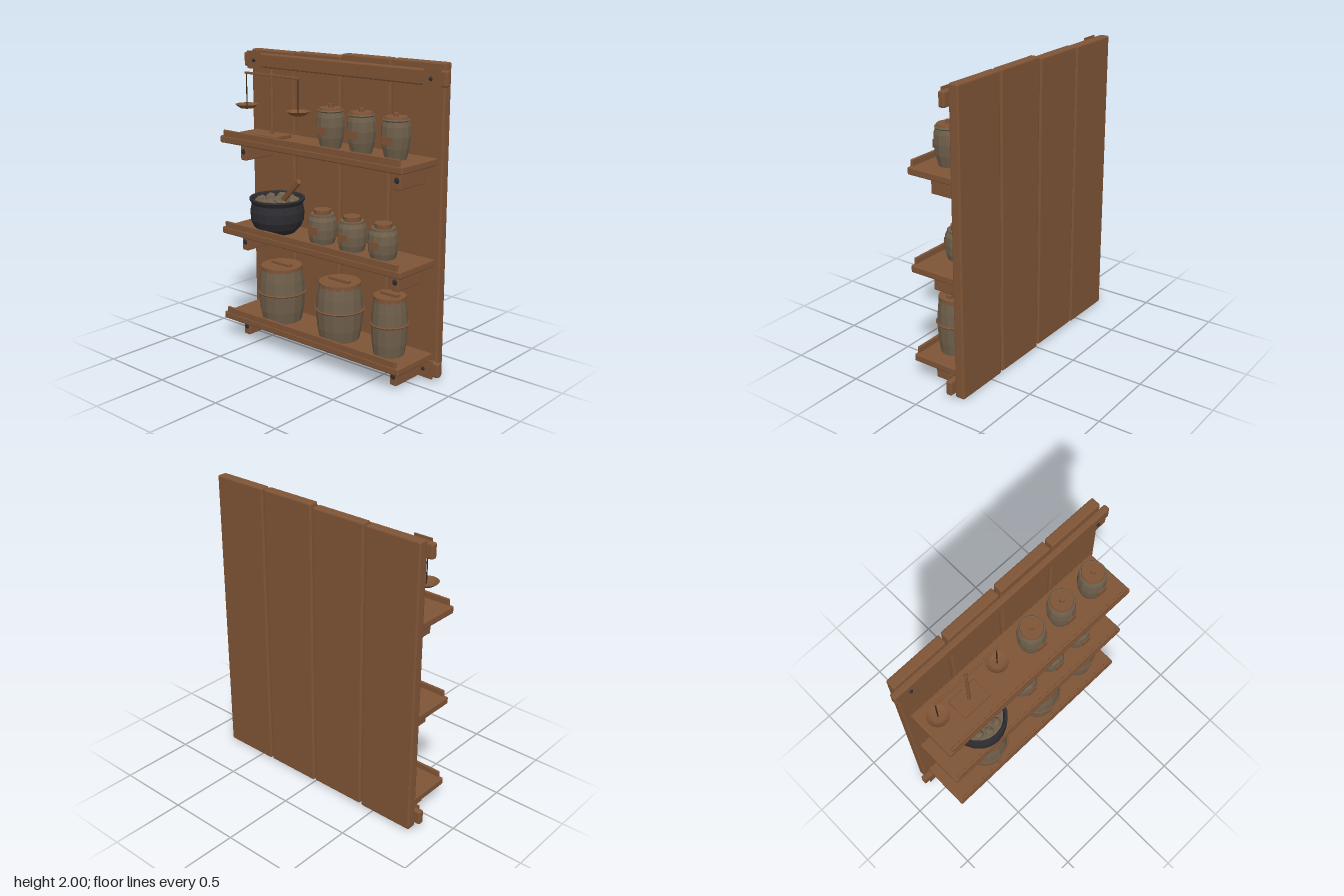
import * as THREE from 'three';
import { RoundedBoxGeometry } from 'three/addons/geometries/RoundedBoxGeometry.js';

const mat = (name, color) => {
  const m = new THREE.MeshStandardMaterial({ color, flatShading: true, side: THREE.DoubleSide });
  m.name = name;
  return m;
};

export function createModel() {
  const root = new THREE.Group();
  root.name = 'storageShelf';
  const wood = mat('brown wood', 0x7f5436);
  const clay = mat('grey brown stoneware', 0x6f5f4b);
  const iron = mat('black iron', 0x2d2d32);
  const cord = mat('dark cord', 0x33261c);

  const add = (parent, name, geo, material, x = 0, y = 0, z = 0) => {
    const m = new THREE.Mesh(geo, material);
    m.name = name;
    m.position.set(x, y, z);
    parent.add(m);
    return m;
  };
  // Box given by its limits, with small chamfers when r > 0
  const box = (parent, name, material, [x0, x1], [y0, y1], [z0, z1], r = 0) => {
    const s = [x1 - x0, y1 - y0, z1 - z0];
    const geo = r ? new RoundedBoxGeometry(...s, 1, r) : new THREE.BoxGeometry(...s);
    return add(parent, name, geo, material, (x0 + x1) / 2, (y0 + y1) / 2, (z0 + z1) / 2);
  };
  const lathe = (pts, sides) => new THREE.LatheGeometry(pts.map(p => new THREE.Vector2(...p)), sides);
  const disc = (r0, r1, h, sides) => new THREE.CylinderGeometry(r0, r1, h, sides);
  const group = (name, x, y, z) => {
    const g = new THREE.Group();
    g.name = name;
    g.position.set(x, y, z);
    root.add(g);
    return g;
  };

  // Back planks
  [[-0.805, -0.415, 0.015, 1.98], [-0.4, -0.01, 0.02, 1.985], [0.005, 0.395, 0.012, 2], [0.41, 0.8, 0.008, 2]]
    .forEach(([x0, x1, y0, y1]) => box(root, 'backPlank', wood, [x0, x1], [y0, y1], [-0.217, -0.15], 0.01));

  // Cross rails with riveted end plates
  for (const y of [0.08, 1.91]) {
    box(root, 'crossRail', wood, [-0.84, 0.84], [y - 0.048, y + 0.048], [-0.151, -0.108], 0.01);
    for (const s of [-1, 1]) {
      box(root, 'endPlate', wood, [s * 0.74 - 0.062, s * 0.74 + 0.062], [y - 0.06, y + 0.06], [-0.108, -0.1]);
      add(root, 'rivet', new THREE.SphereGeometry(0.013, 8, 6), iron, s * 0.735, y - 0.002, -0.098);
    }
  }

  // Shelves, front lips, brackets and bolts
  for (const top of [0.175, 0.795, 1.43]) {
    box(root, 'shelfBoard', wood, [-0.765, 0.765], [top - 0.048, top], [-0.147, 0.203], 0.008);
    box(root, 'shelfLip', wood, [-0.738, 0.738], [top - 0.005, top + 0.04], [0.183, 0.2], 0.004);
    for (const x of [-0.65, 0.65]) {
      box(root, 'bracket', wood, [x - 0.026, x + 0.026], [top - 0.173, top - 0.045], [-0.147, 0.1], 0.006);
      add(root, 'bracketBolt', new THREE.SphereGeometry(0.02, 10, 6), iron, x, top - 0.113, 0.098).scale.z = 0.55;
    }
  }

  // Lidded barrels
  for (const [x, r] of [[-0.37, 0.163], [0.15, 0.16], [0.56, 0.12]]) {
    const g = group('barrel', x, 0.175, 0.03);
    add(g, 'barrelBody', lathe([[0, 0], [r * 0.82, 0], [r * 0.92, 0.08], [r * 0.98, 0.2],
      [r * 0.94, 0.29], [r * 0.86, 0.37], [0, 0.37]], 14), clay);
    add(g, 'barrelHoop', new THREE.TorusGeometry(r * 0.985, 0.007, 5, 28), wood, 0, 0.205).rotation.x = Math.PI / 2;
    add(g, 'barrelLid', disc(r * 0.86, r * 0.86, 0.028, 20), wood, 0, 0.373);
    box(g, 'lidHandle', wood, [-0.02 - r * 0.4, 0.02 + r * 0.4], [0.385, 0.408], [-0.018, 0.018], 0.005);
  }

  // Tall jars with knobbed lids
  for (const x of [0.07, 0.32, 0.585]) {
    const g = group('tallJar', x, 1.43, 0.03);
    add(g, 'jarBody', lathe([[0, 0], [0.066, 0], [0.084, 0.07], [0.092, 0.14], [0.088, 0.2],
      [0.077, 0.235], [0, 0.235]], 12), clay);
    add(g, 'jarRim', new THREE.TorusGeometry(0.076, 0.008, 5, 20), clay, 0, 0.237).rotation.x = Math.PI / 2;
    add(g, 'jarLid', disc(0.07, 0.075, 0.02, 16), wood, 0, 0.245);
    add(g, 'lidKnob', disc(0.017, 0.017, 0.022, 10), wood, 0, 0.266);
    box(g, 'jarLabel', wood, [-0.035, 0.035], [0.095, 0.145], [0.088, 0.096]);
  }

  // Squat jars with stoppers
  for (const x of [0, 0.25, 0.5]) {
    const g = group('squatJar', x, 0.795, 0.03);
    add(g, 'jarBody', lathe([[0, 0], [0.08, 0], [0.092, 0.04], [0.097, 0.1], [0.092, 0.155],
      [0.078, 0.18], [0.078, 0.192], [0, 0.192]], 12), clay);
    add(g, 'jarStopper', disc(0.057, 0.055, 0.034, 14), wood, 0, 0.204);
    box(g, 'jarLabel', wood, [-0.035, 0.035], [0.068, 0.12], [0.093, 0.1]);
  }

  // Cooking pot with lumpy filling and a spoon
  const pot = group('cookingPot', -0.4, 0.795, 0.035);
  add(pot, 'potBody', lathe([[0, 0], [0.12, 0], [0.158, 0.04], [0.18, 0.09], [0.183, 0.15], [0.172, 0.2],
    [0.188, 0.228], [0.186, 0.238], [0.17, 0.236], [0.158, 0.2], [0.15, 0.15]], 20), iron);
  add(pot, 'filling', disc(0.16, 0.155, 0.02, 18), clay, 0, 0.195);
  const ring = (n, r, size) => {
    for (let i = 0; i < n; i++) {
      const a = i / n * Math.PI * 2 + r * 9;
      const lump = add(pot, 'fillingLump', new THREE.IcosahedronGeometry(size, 0), clay,
        Math.cos(a) * r, 0.205 + (i % 3) * 0.004, Math.sin(a) * r);
      lump.rotation.set(i * 1.3, i * 2.1, i * 0.7);
    }
  };
  ring(10, 0.118, 0.036);
  ring(5, 0.055, 0.036);
  ring(1, 0, 0.036);
  const from = new THREE.Vector3(0, 0.17, -0.005), to = new THREE.Vector3(0.227, 0.383, 0.028);
  const spoon = add(pot, 'spoonHandle', new RoundedBoxGeometry(0.034, from.distanceTo(to), 0.025, 1, 0.005), wood);
  spoon.position.copy(from).lerp(to, 0.5);
  spoon.quaternion.setFromUnitVectors(new THREE.Vector3(0, 1, 0), to.clone().sub(from).normalize());

  // Balance scale
  const scale = group('balanceScale', -0.445, 1.43, 0.028);
  box(scale, 'scaleBase', wood, [-0.103, 0.103], [0, 0.025], [-0.073, 0.073], 0.005);
  add(scale, 'scalePost', disc(0.009, 0.012, 0.4, 8), wood, 0, 0.22);
  add(scale, 'scaleFinial', new THREE.ConeGeometry(0.013, 0.035, 8), wood, 0, 0.435);
  box(scale, 'scaleBeam', wood, [-0.247, 0.247], [0.403, 0.418], [-0.007, 0.007], 0.003);
  for (const s of [-1, 1]) {
    add(scale, 'scaleCord', disc(0.004, 0.004, 0.225, 6), cord, s * 0.235, 0.295);
    add(scale, 'scalePan', lathe([[0, 0.17], [0.045, 0.174], [0.066, 0.188], [0.078, 0.2], [0.07, 0.2],
      [0.058, 0.19], [0.04, 0.18], [0, 0.177]], 18), wood, s * 0.235);
  }
  return root;
}
